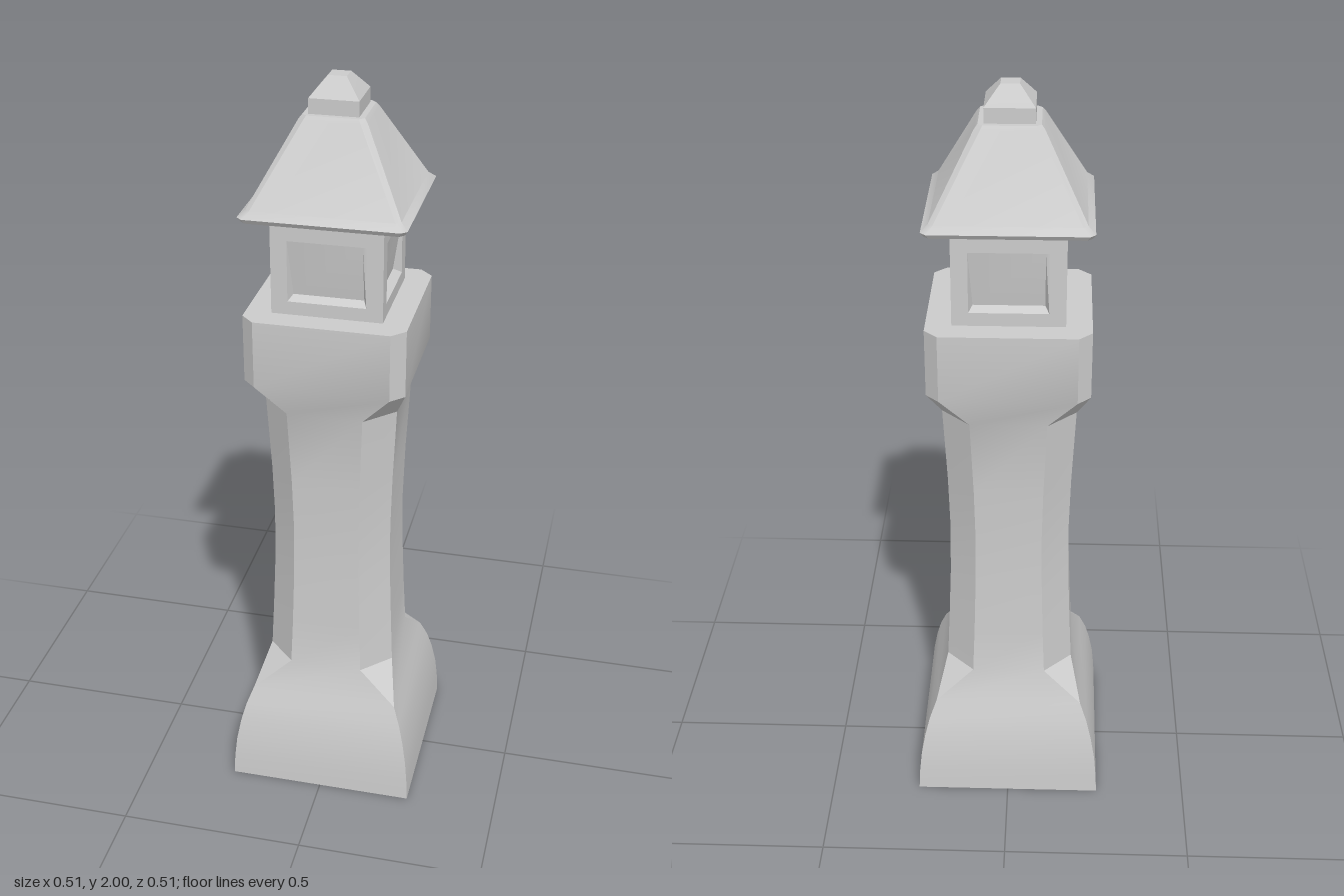
import * as THREE from 'three';
import { toCreasedNormals } from 'three/addons/utils/BufferGeometryUtils.js';

const material = new THREE.MeshStandardMaterial({ color: 0xcccccc, side: THREE.DoubleSide });

// Square of half-width w with corners cut by c, counter-clockwise from above
function section([y, w, c = 0]) {
  const d = w - c;
  return [[w, d], [w, -d], [d, -w], [-d, -w], [-w, -d], [-w, d], [-d, w], [d, w]]
    .map(([x, z]) => new THREE.Vector3(x, y, z));
}

function meshFrom(name, triangles) {
  const solid = triangles.filter((t) => new THREE.Triangle(...t).getArea() > 1e-8);
  const geometry = new THREE.BufferGeometry().setFromPoints(solid.flat());
  const mesh = new THREE.Mesh(toCreasedNormals(geometry, 0.5), material);
  mesh.name = name;
  return mesh;
}

const quad = (a, b, c, d) => [[a, b, c], [a, c, d]];

// Skin a stack of [y, halfWidth, cornerCut] rows, from bottom to top
function loft(name, rows) {
  const rings = rows.map(section);
  const triangles = [];
  for (let r = 0; r < rings.length - 1; r++) {
    for (let i = 0; i < 8; i++) {
      const j = (i + 1) % 8;
      triangles.push(...quad(rings[r][i], rings[r][j], rings[r + 1][j], rings[r + 1][i]));
    }
  }
  return meshFrom(name, triangles);
}

// One lantern wall with a recess that fades out towards the top
function lanternWall() {
  const wall = new THREE.Group();
  const z = 0.142, low = 1.46, high = 1.62;
  const shape = new THREE.Shape();
  shape.moveTo(-z, 1.42).lineTo(z, 1.42).lineTo(z, 1.69).lineTo(-z, 1.69).closePath();
  const hole = new THREE.Path();
  hole.moveTo(-0.1, low).lineTo(-0.1, high).lineTo(0.1, high).lineTo(0.1, low).closePath();
  shape.holes.push(hole);
  const face = new THREE.Mesh(new THREE.ShapeGeometry(shape).translate(0, 0, z), material);
  face.name = 'wallFace';

  const v = (x, y, depth) => new THREE.Vector3(x, y, z - depth);
  const outer = [v(-0.1, low, 0), v(0.1, low, 0), v(0.1, high, 0), v(-0.1, high, 0)];
  const inner = [v(-0.09, low + 0.012, 0.022), v(0.09, low + 0.012, 0.022), v(0.09, high, 0), v(-0.09, high, 0)];
  const triangles = quad(...inner);
  for (let i = 0; i < 4; i++) {
    const j = (i + 1) % 4;
    triangles.push(...quad(outer[i], outer[j], inner[j], inner[i]));
  }
  wall.add(face, meshFrom('windowRecess', triangles));
  return wall;
}

export function createModel() {
  const model = new THREE.Group();
  model.name = 'lanternTower';

  // Flared base, waisted shaft with cut corners, and the platform; open below
  model.add(loft('shaft', [
    [0, 0.254], [0.06, 0.251], [0.12, 0.245], [0.18, 0.234], [0.23, 0.221], [0.28, 0.202],
    [0.37, 0.174, 0.075], [0.5, 0.168, 0.074], [0.65, 0.162, 0.072], [0.8, 0.16, 0.072],
    [0.95, 0.164, 0.073], [1.16, 0.174, 0.075],
    [1.245, 0.208, 0.034], [1.425, 0.208, 0.034], [1.425, 0],
  ]));

  // Lantern room
  const lantern = new THREE.Group();
  lantern.name = 'lanternRoom';
  for (let i = 0; i < 4; i++) {
    const wall = lanternWall();
    wall.name = 'lanternWall';
    wall.rotation.y = i * Math.PI / 2;
    lantern.add(wall);
  }
  model.add(lantern);

  // Hipped roof with a flared eave and blunt hips
  model.add(loft('roof', [
    [1.685, 0], [1.685, 0.19, 0.012], [1.68, 0.2, 0.012], [1.692, 0.208, 0.014],
    [1.708, 0.19, 0.012], [1.905, 0.084, 0.014], [1.915, 0.076, 0.012], [1.915, 0],
  ]));

  // Finial
  model.add(loft('finial', [
    [1.91, 0.062], [1.953, 0.062], [1.975, 0.044], [2, 0.023], [2, 0],
  ]));
  return model;
}
